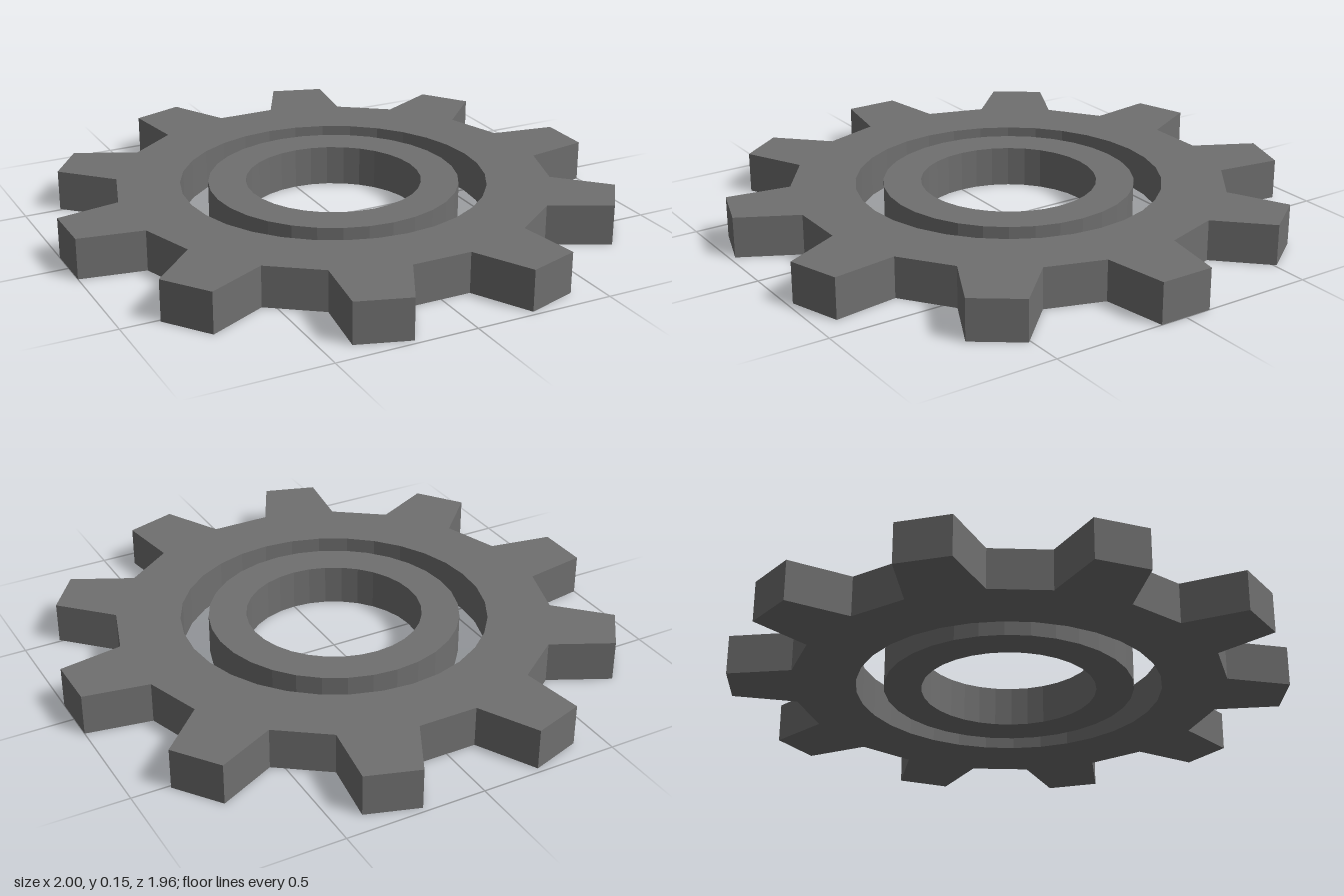
import * as THREE from 'three';

const HEIGHT = 0.147;
const TEETH = 10;
const SEGMENTS = 32;

// Points of a regular polygon standing in for a circle
function circlePoints(radius) {
  return Array.from({ length: SEGMENTS }, (_, i) => {
    const a = (i / SEGMENTS) * Math.PI * 2;
    return new THREE.Vector2(Math.cos(a) * radius, Math.sin(a) * radius);
  });
}

// One tapered tooth pointing along +x, repeated around the centre
function gearPoints() {
  const tooth = [[0.768, -0.136], [1, -0.097], [1, 0.097], [0.768, 0.136]];
  const origin = new THREE.Vector2();
  const points = [];
  for (let i = 0; i < TEETH; i++) {
    const angle = (i / TEETH) * Math.PI * 2;
    for (const [x, y] of tooth) {
      points.push(new THREE.Vector2(x, y).rotateAround(origin, angle));
    }
  }
  return points;
}

// Flat plate with a round hole, lying on the ground
function plate(name, outline, holeRadius, material) {
  const shape = new THREE.Shape(outline);
  shape.holes.push(new THREE.Path(circlePoints(holeRadius)));
  const geometry = new THREE.ExtrudeGeometry(shape, { depth: HEIGHT, bevelEnabled: false });
  geometry.rotateX(-Math.PI / 2);
  const mesh = new THREE.Mesh(geometry, material);
  mesh.name = name;
  return mesh;
}

export function createModel() {
  const group = new THREE.Group();
  group.name = 'gear';
  const material = new THREE.MeshStandardMaterial({ color: 0x6f6f6f, flatShading: true });

  // Toothed outer wheel and the separate ring inside it
  group.add(plate('toothedWheel', gearPoints(), 0.55, material));
  group.add(plate('innerRing', circlePoints(0.45), 0.315, material));
  return group;
}
